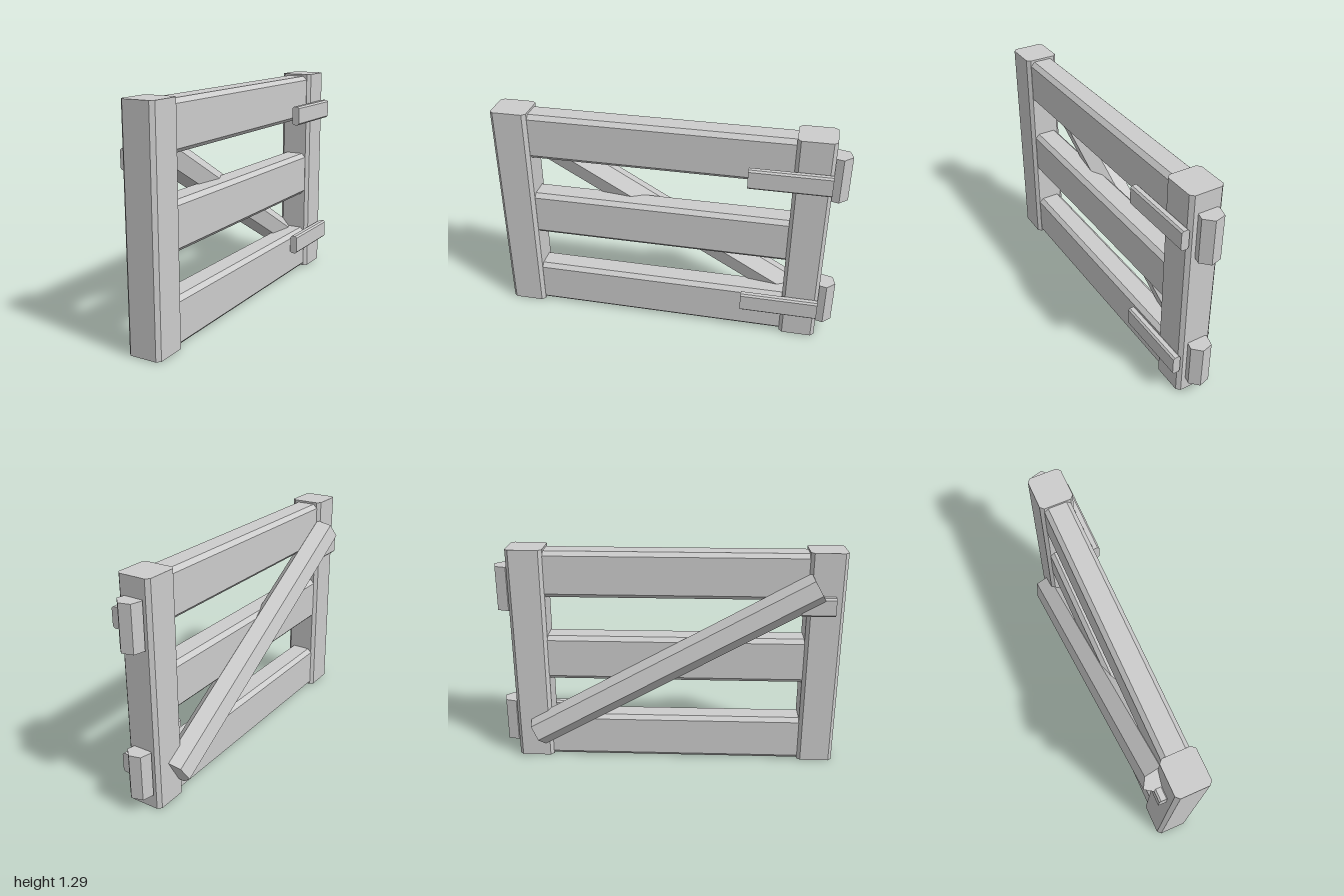
import * as THREE from 'three';

const wood = new THREE.MeshStandardMaterial({ color: 0xcccccc, flatShading: true });
wood.name = 'plain grey';

// Extrude an outline along z, centred on the origin
function prism(points, length) {
  const shape = new THREE.Shape(points.map(([x, y]) => new THREE.Vector2(x, y)));
  const geo = new THREE.ExtrudeGeometry(shape, { depth: length, bevelEnabled: false });
  return geo.translate(0, 0, -length / 2);
}

// Bar with its four long edges chamfered
function bar(w, h, length, c) {
  const a = w / 2, b = h / 2;
  return prism([[-a + c, -b], [a - c, -b], [a, -b + c], [a, b - c],
    [a - c, b], [-a + c, b], [-a, b - c], [-a, -b + c]], length);
}

// Six-sided pole, turned a little about its length
function pole(radius, length) {
  const points = [];
  for (let i = 0; i < 6; i++) {
    const a = Math.PI / 12 - i * Math.PI / 3;
    points.push([radius * Math.sin(a), radius * Math.cos(a)]);
  }
  return prism(points, length);
}

export function createModel() {
  const gate = new THREE.Group();
  gate.name = 'gate';
  const add = (name, geo, x, y, z) => {
    const mesh = new THREE.Mesh(geo, wood);
    mesh.name = name;
    mesh.position.set(x, y, z);
    gate.add(mesh);
  };

  // Upright posts
  const post = bar(0.195, 0.21, 1.29, 0.02).rotateX(-Math.PI / 2);
  add('frontPost', post, 0.0255, 0.65, 0.895);
  add('backPost', post, 0.0255, 0.65, -0.805);

  // Horizontal rails
  const rail = bar(0.155, 0.27, 1.52, 0.024);
  ['lowerRail', 'middleRail', 'upperRail'].forEach((name, i) =>
    add(name, rail, 0.024, 0.136 + i * 0.506, 0.045));

  // Diagonal brace
  add('brace', pole(0.091, 1.874).rotateX(-0.517), -0.08, 0.638, 0.033);

  // Hinge straps and pins
  const strap = bar(0.045, 0.115, 0.45, 0.01);
  const pin = pole(0.067, 0.26).rotateX(-Math.PI / 2);
  for (const [level, y] of [['lower', 0.222], ['upper', 1.057]]) {
    add(level + 'HingeStrap', strap, 0.143, y, -0.685);
    add(level + 'HingePin', pin, 0.025, y, -0.935);
  }

  // Latch block
  add('latch', bar(0.05, 0.108, 0.19, 0.01), -0.092, 0.995, 0.85);

  return gate;
}
